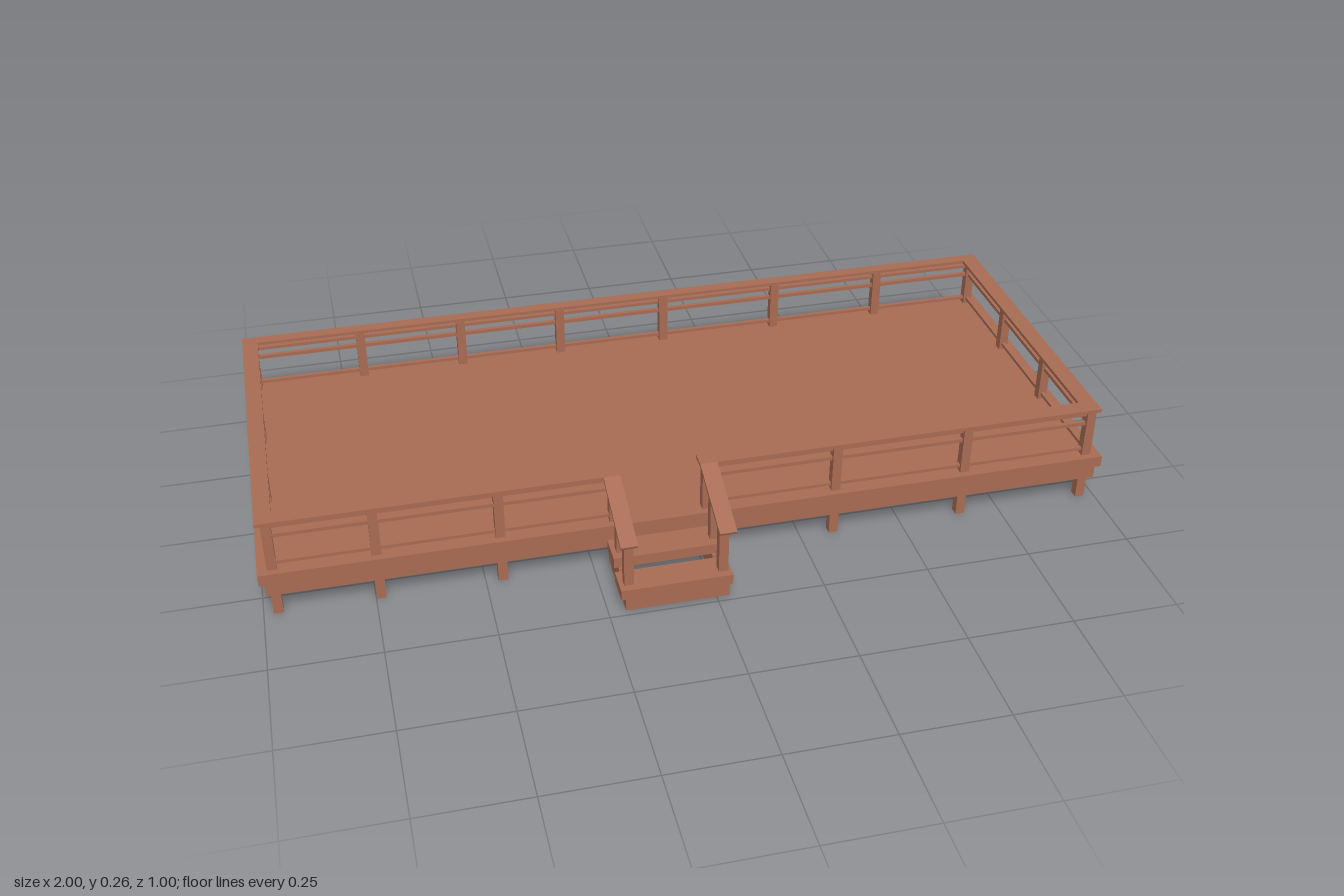
import * as THREE from 'three';

export function createModel() {
  const model = new THREE.Group();
  model.name = 'woodenDeck';
  const wood = new THREE.MeshStandardMaterial({ color: 0xa86b53 });
  wood.name = 'redBrownWood';

  const add = (name, geometry, parent) => {
    const mesh = new THREE.Mesh(geometry, wood);
    mesh.name = name;
    parent.add(mesh);
    return mesh;
  };
  // Box given by its lower and upper limits on each axis
  const box = (name, x0, x1, y0, y1, z0, z1, parent = model) => {
    const mesh = add(name, new THREE.BoxGeometry(x1 - x0, y1 - y0, z1 - z0), parent);
    mesh.position.set((x0 + x1) / 2, (y0 + y1) / 2, (z0 + z1) / 2);
    return mesh;
  };
  const group = (name) => {
    const g = new THREE.Group();
    g.name = name;
    model.add(g);
    return g;
  };

  // Floor slab and the skirt boards below its edge
  box('floor', -1, 1, 0.094, 0.122, -0.497, 0.328);
  const skirt = group('skirt');
  box('frontSkirt', -0.988, 0.988, 0.06, 0.094, 0.312, 0.322, skirt);
  box('backSkirt', -0.988, 0.988, 0.06, 0.094, -0.488, -0.478, skirt);
  box('rightSkirt', -0.988, -0.978, 0.06, 0.094, -0.478, 0.312, skirt);
  box('leftSkirt', 0.978, 0.988, 0.06, 0.094, -0.478, 0.312, skirt);

  // Posts run from the ground to the handrail
  const xR = -0.967, xL = 0.965, zF = 0.301, zB = -0.467, h = 0.011;
  const posts = group('posts');
  const post = (x, z) => box('post', x - h, x + h, 0, 0.249, z - h, z + h, posts);
  const gateR = -0.198, gateL = 0.02;
  [xR, -0.738, -0.46, gateR, gateL, 0.332, 0.653, xL].forEach((x) => post(x, zF));
  [xR, -0.697, -0.44, -0.18, 0.098, 0.405, 0.694, xL].forEach((x) => post(x, zB));
  for (const z of [0.042, -0.211]) [xR, xL].forEach((x) => post(x, z));

  // Three thin rails on every side, open at the stairs
  const rails = group('rails');
  const t = 0.005;
  for (const [y0, y1] of [[0.133, 0.141], [0.205, 0.214], [0.231, 0.239]]) {
    box('frontRail', xR, gateR, y0, y1, zF - t, zF + t, rails);
    box('frontRail', gateL, xL, y0, y1, zF - t, zF + t, rails);
    box('backRail', xR, xL, y0, y1, zB - t, zB + t, rails);
    for (const x of [xR, xL]) box('sideRail', x - t, x + t, y0, y1, zB, zF, rails);
  }

  // Flat handrail caps
  const caps = group('handrail');
  const c0 = 0.248, c1 = 0.256;
  box('frontCap', -0.99, -0.184, c0, c1, 0.281, 0.322, caps);
  box('frontCap', 0, 0.982, c0, c1, 0.281, 0.322, caps);
  box('backCap', -0.99, 0.982, c0, c1, -0.487, -0.457, caps);
  box('rightCap', -0.99, -0.952, c0, c1, -0.457, 0.281, caps);
  box('leftCap', 0.941, 0.982, c0, c1, -0.457, 0.281, caps);

  // Extrude a z,y outline across x
  const sidePlate = (name, points, x0, x1, parent) => {
    const shape = new THREE.Shape(points.map(([z, y]) => new THREE.Vector2(-z, y)));
    const g = new THREE.ExtrudeGeometry(shape, { depth: x1 - x0, bevelEnabled: false });
    g.rotateY(Math.PI / 2);
    g.translate(x0, 0, 0);
    return add(name, g, parent);
  };

  // Stairs: stepped sides, two treads, a front riser, posts and sloping caps
  const stairs = group('stairs');
  const stringer = [[0.322, 0], [0.483, 0], [0.483, 0.03], [0.412, 0.03], [0.412, 0.062], [0.322, 0.062]];
  sidePlate('stringer', stringer, -0.21, -0.188, stairs);
  sidePlate('stringer', stringer, 0.008, 0.03, stairs);
  box('lowerTread', -0.22, 0.038, 0.03, 0.056, 0.412, 0.483, stairs);
  box('upperTread', -0.22, 0.038, 0.062, 0.088, 0.333, 0.405, stairs);
  box('riser', -0.188, 0.008, 0, 0.03, 0.473, 0.483, stairs);
  const slope = [[0.322, c0], [0.497, 0.182], [0.5, 0.189], [0.322, c1]];
  for (const [x, x0, x1] of [[gateR, -0.223, -0.184], [gateL, 0, 0.04]]) {
    box('stairPost', x - h, x + h, 0.03, 0.198, 0.443, 0.465, stairs);
    box('stairPost', x - h, x + h, 0.06, 0.229, 0.363, 0.385, stairs);
    sidePlate('slopingCap', slope, x0, x1, stairs);
  }
  return model;
}
